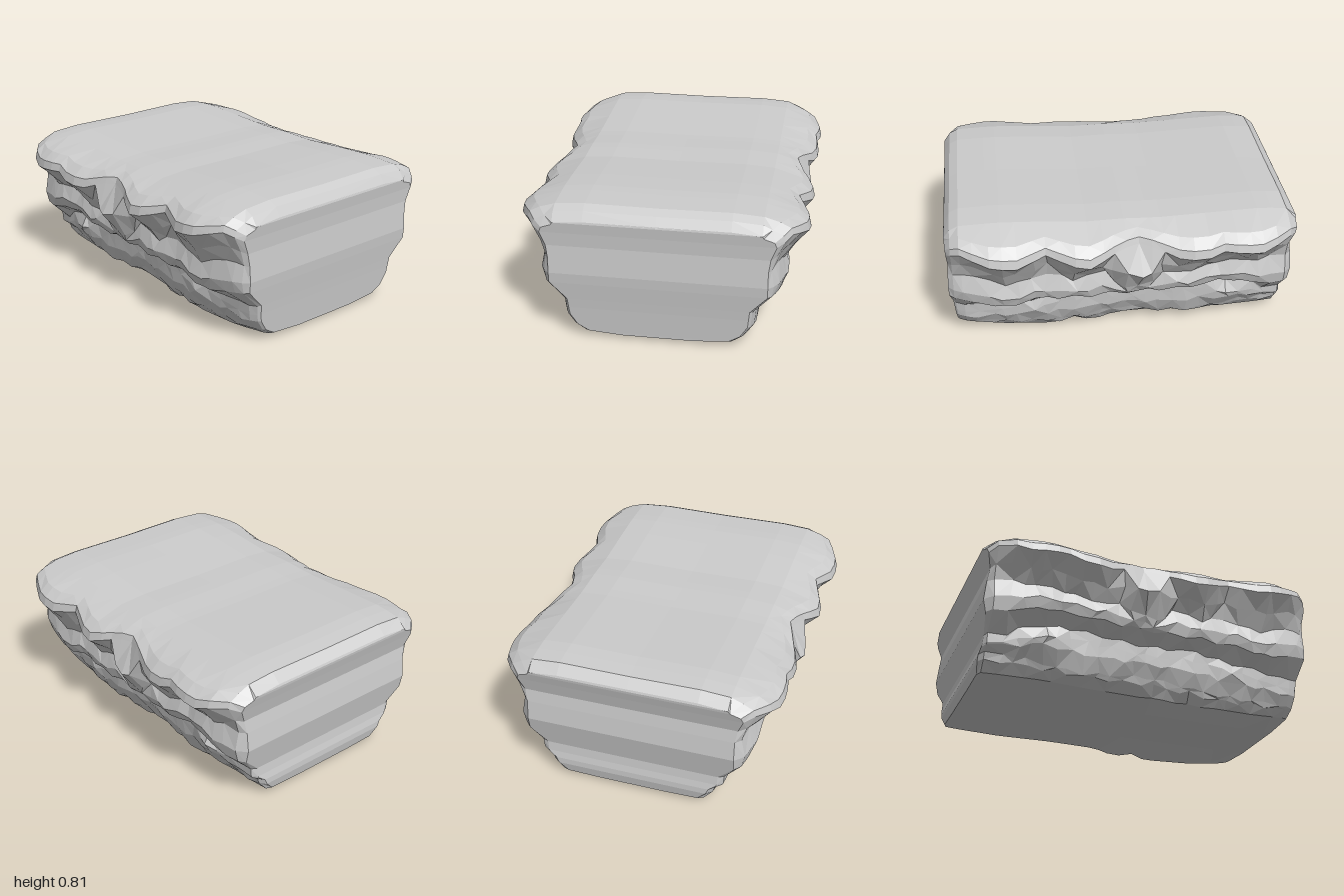
import * as THREE from 'three';

// piecewise-linear curve through [x, value] pairs
const curve = (...p) => (x) => {
  if (x <= p[0][0]) return p[0][1];
  for (let i = 1; i < p.length; i++) {
    if (x <= p[i][0]) {
      const t = (x - p[i - 1][0]) / (p[i][0] - p[i - 1][0]);
      return p[i - 1][1] + t * (p[i][1] - p[i - 1][1]);
    }
  }
  return p[p.length - 1][1];
};

// heights and depths of the rock strata along the length
const topY = curve([-1, 0.735], [-0.94, 0.785], [-0.8, 0.8], [-0.2, 0.78], [0, 0.787], [0.2, 0.782], [0.5, 0.803], [0.7, 0.812], [0.91, 0.805], [0.96, 0.78], [1, 0.73]);
const lipZ = curve([-1, 0.645], [-0.94, 0.7], [-0.85, 0.765], [-0.75, 0.8], [-0.65, 0.805], [-0.55, 0.785], [-0.42, 0.803], [-0.33, 0.785], [-0.18, 0.73], [-0.08, 0.695],
  [0.04, 0.73], [0.18, 0.805], [0.28, 0.795], [0.44, 0.735], [0.62, 0.805], [0.73, 0.805], [0.87, 0.745], [0.95, 0.695], [1, 0.64]);
const lipY = curve([-1, 0.67], [-0.92, 0.7], [-0.77, 0.65], [-0.55, 0.67], [-0.45, 0.63], [-0.3, 0.635], [-0.16, 0.69], [-0.05, 0.71], [0.1, 0.66],
  [0.2, 0.625], [0.3, 0.64], [0.44, 0.69], [0.6, 0.65], [0.75, 0.67], [0.92, 0.72], [1, 0.67]);
const midY = curve([-1, 0.5], [-0.8, 0.5], [-0.55, 0.5], [-0.4, 0.46], [-0.2, 0.46], [-0.08, 0.4], [0, 0.38], [0.12, 0.49], [0.3, 0.45], [0.44, 0.5],
  [0.55, 0.46], [0.7, 0.45], [0.85, 0.52], [1, 0.5]);
const midZ = curve([-1, 0.6], [-0.94, 0.63], [-0.75, 0.66], [-0.55, 0.645], [-0.35, 0.67], [-0.2, 0.655], [0.1, 0.655], [0.25, 0.67], [0.44, 0.65], [0.65, 0.67], [0.85, 0.645], [0.94, 0.625], [1, 0.6]);
const ledgeY = curve([-1, 0.31], [-0.8, 0.33], [-0.62, 0.37], [-0.4, 0.345], [-0.2, 0.34], [0, 0.335], [0.3, 0.33], [0.5, 0.33], [0.7, 0.29], [0.85, 0.33], [1, 0.35]);
const lowY = curve([-1, 0.2], [-0.85, 0.21], [-0.7, 0.28], [-0.5, 0.3], [-0.3, 0.28], [0, 0.27], [0.3, 0.28], [0.5, 0.24], [0.7, 0.24], [0.85, 0.21], [1, 0.23]);
const lowZ = curve([-1, 0.5], [-0.93, 0.54], [-0.7, 0.55], [-0.4, 0.565], [0, 0.55], [0.3, 0.57], [0.6, 0.555], [0.9, 0.535], [1, 0.5]);
const footY = curve([-1, 0.12], [-0.93, 0.13], [-0.7, 0.11], [-0.4, 0.07], [0, 0.115], [0.2, 0.09], [0.4, 0.065], [0.6, 0.065], [0.85, 0.08], [1, 0.08]);
const baseY = curve([-1, 0.03], [-0.2, 0.025], [0.08, 0.02], [0.17, 0], [0.28, 0.02], [0.36, 0.002], [0.7, 0.01], [1, 0.04]);
const baseZ = curve([-1, 0.39], [-0.93, 0.43], [-0.6, 0.45], [-0.3, 0.43], [0, 0.43], [0.15, 0.47], [0.28, 0.44], [0.4, 0.47], [0.7, 0.45], [0.93, 0.42], [1, 0.39]);
const bump = (x, c, w) => Math.max(0, 1 - Math.abs(x - c) / w);

// half cross-section [z, y] from the middle of the top down to the middle of the base
function profile(x) {
  const T = topY(x), zl = lipZ(x), yl = lipY(x), ym = midY(x), zm = midZ(x);
  const yd = ledgeY(x), yw = lowY(x), zw = lowZ(x), yf = footY(x), yb = baseY(x);
  const nose = Math.min(1, 1.4 * bump(x, -0.08, 0.18)), knob = bump(x, -0.62, 0.16), chip = bump(x, 0.5, 0.12);
  const inner = 1 - bump(Math.abs(x), 1, 0.07);
  return [
    [0, T - 0.004], [0.4, T], [0.565, T - 0.012],
    [zl - 0.07, THREE.MathUtils.lerp(T, yl, 0.42)],
    [zl - 0.012, THREE.MathUtils.lerp(T, yl, 0.76)],
    [zl, yl - 0.015],
    [THREE.MathUtils.lerp((zl + zm) / 2 - 0.01, 0.785, nose), THREE.MathUtils.lerp((yl + ym) / 2 - 0.01, 0.525, nose)],
    [zm + 0.045 * nose, ym],
    [zm + 0.025 * inner, THREE.MathUtils.lerp(ym, yd, 0.6)],
    [zm + 0.004 * inner, yd],
    [zw + 0.005, yw + 0.015],
    [zw + 0.045 * knob + 0.025 * chip, yw - 0.04 - 0.03 * knob],
    [zw - 0.005 + 0.03 * knob, (yw + yf) / 2 - 0.01],
    [zw - 0.045, yf],
    [zw - 0.06, (yf + yb) / 2 + 0.01],
    [baseZ(x), yb], [0.2, 0.025], [0, 0.025],
  ];
}

export function createModel() {
  const stations = [-1, -0.94, -0.85, -0.77, -0.7, -0.62, -0.55, -0.47, -0.38, -0.3, -0.22, -0.15, -0.08, -0.01, 0.06, 0.12, 0.2, 0.28,
    0.36, 0.44, 0.51, 0.6, 0.68, 0.75, 0.84, 0.91, 0.96, 1];
  // uneven outline of the two end faces
  const endX = (x, y) => x < 0
    ? curve([0.03, -0.955], [0.1, -0.97], [0.2, -0.95], [0.3, -0.97], [0.4, -0.99], [0.58, -0.962], [0.72, -1], [0.8, -0.97])(y)
    : curve([0.03, 0.955], [0.2, 0.97], [0.4, 0.993], [0.6, 0.98], [0.72, 0.995], [0.8, 0.97])(y);
  const positions = [], index = [];
  const n = profile(0).length, ring = 2 * n - 2;
  stations.forEach((x) => {
    const half = profile(x);
    const back = half.slice(1, -1).reverse().map(([z, y]) => [-z, y]);
    [...half, ...back].forEach(([z, y], j) => {
      // zigzag the weathered side points slightly for a chipped look
      const k = j < n ? j : ring - j;
      const weathered = k > 5 && k < 15 && Math.abs(x) < 0.9 ? 1 : 0;
      const shift = 0.015 * weathered * Math.sin(x * 23 + k * 2.1);
      const lift = 0.012 * weathered * Math.sin(x * 31 + k * 1.3);
      const limit = endX(x, y);
      const px = Math.abs(x) === 1 ? limit : Math.sign(x) * Math.min(Math.abs(x + shift), Math.abs(limit) - 0.012);
      positions.push(px, y + lift, z);
    });
  });
  // skin between neighbouring cross-sections, diagonals mirrored front to back
  for (let i = 0; i < stations.length - 1; i++) {
    for (let j = 0; j < ring; j++) {
      const a = i * ring + j, b = i * ring + (j + 1) % ring, c = a + ring, d = b + ring;
      const k = j < n - 1 ? j : ring - 1 - j;
      const flip = ((i + k) % 2 === 0) !== (j >= n - 1);
      if (flip) index.push(a, b, c, b, d, c);
      else index.push(a, b, d, a, d, c);
    }
  }
  // end faces, as strips between the front and back halves
  const last = (stations.length - 1) * ring;
  for (let j = 0; j < n - 1; j++) {
    const f0 = j, f1 = j + 1, b0 = (ring - j) % ring, b1 = ring - j - 1;
    for (const [s, tri] of [[0, [f0, b1, f1]], [0, [f0, b0, b1]], [last, [f0, f1, b1]], [last, [f0, b1, b0]]]) {
      if (new Set(tri).size === 3) index.push(...tri.map((v) => v + s));
    }
  }
  const geometry = new THREE.BufferGeometry();
  geometry.setAttribute('position', new THREE.Float32BufferAttribute(positions, 3));
  geometry.setIndex(index);
  geometry.computeVertexNormals();

  const rock = new THREE.Mesh(geometry, new THREE.MeshStandardMaterial({ color: 0xcccccc, flatShading: true }));
  rock.name = 'rockPlatform';
  const group = new THREE.Group();
  group.name = 'rockLedge';
  group.add(rock);
  return group;
}
